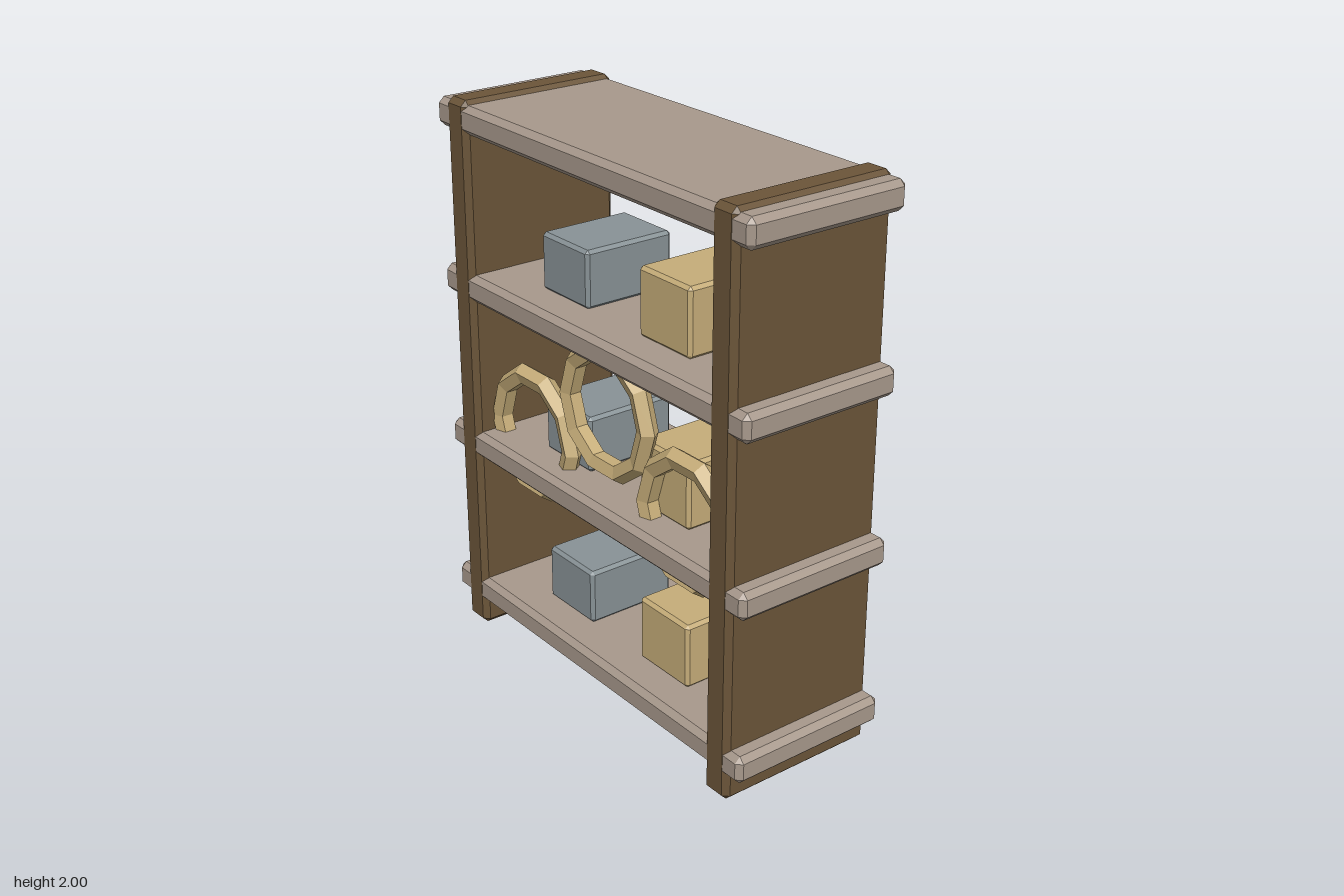
import * as THREE from 'three';
import { ConvexGeometry } from 'three/addons/geometries/ConvexGeometry.js';

const mat = (color) => new THREE.MeshStandardMaterial({ color, flatShading: true });

// Box with flat chamfers: the hull of its six inset faces
function chamferBox(w, h, d, c) {
  const half = [w / 2, h / 2, d / 2];
  const points = [];
  for (let axis = 0; axis < 3; axis++)
    for (const sx of [-1, 1]) for (const sy of [-1, 1]) for (const sz of [-1, 1]) {
      const p = [sx, sy, sz].map((s, i) => s * (half[i] - (i === axis ? 0 : c)));
      points.push(new THREE.Vector3(...p));
    }
  return new ConvexGeometry(points);
}

export function createModel() {
  const model = new THREE.Group();
  model.name = 'storageShelf';

  const darkWood = mat(0x6b5539);
  const paleWood = mat(0xa8998c);
  const grey = mat(0x889296);
  const tan = mat(0xc6ad79);

  const add = (name, geometry, material, x, y, z = 0) => {
    const mesh = new THREE.Mesh(geometry, material);
    mesh.name = name;
    mesh.position.set(x, y, z);
    model.add(mesh);
  };

  // Upright side panels, a hair deeper than the shelves
  const panel = chamferBox(0.115, 2, 0.612, 0.02);
  add('leftPanel', panel, darkWood, 0.7, 1);
  add('rightPanel', panel, darkWood, -0.7, 1);

  // Four boards, with two boxes standing on each of the lower three
  const board = chamferBox(1.64, 0.1, 0.61, 0.02);
  const greyBox = chamferBox(0.26, 0.205, 0.35, 0.012);
  const tanBox = chamferBox(0.26, 0.24, 0.35, 0.012);
  for (let i = 0; i < 4; i++) {
    const y = 0.146 + i * 0.5965;
    add('shelfBoard', board, paleWood, 0, y);
    if (i === 3) continue;
    add('greyBox', greyBox, grey, -0.27, y + 0.15);
    add('tanBox', tanBox, tan, 0.265, y + 0.168);
  }

  // Three faceted rings near the front
  const ring = new THREE.TorusGeometry(0.214, 0.038, 5, 10);
  add('centreRing', ring, tan, 0, 1.083, 0.2);
  add('leftRing', ring, tan, 0.425, 0.847, 0.2);
  add('rightRing', ring, tan, -0.425, 0.847, 0.2);

  return model;
}
